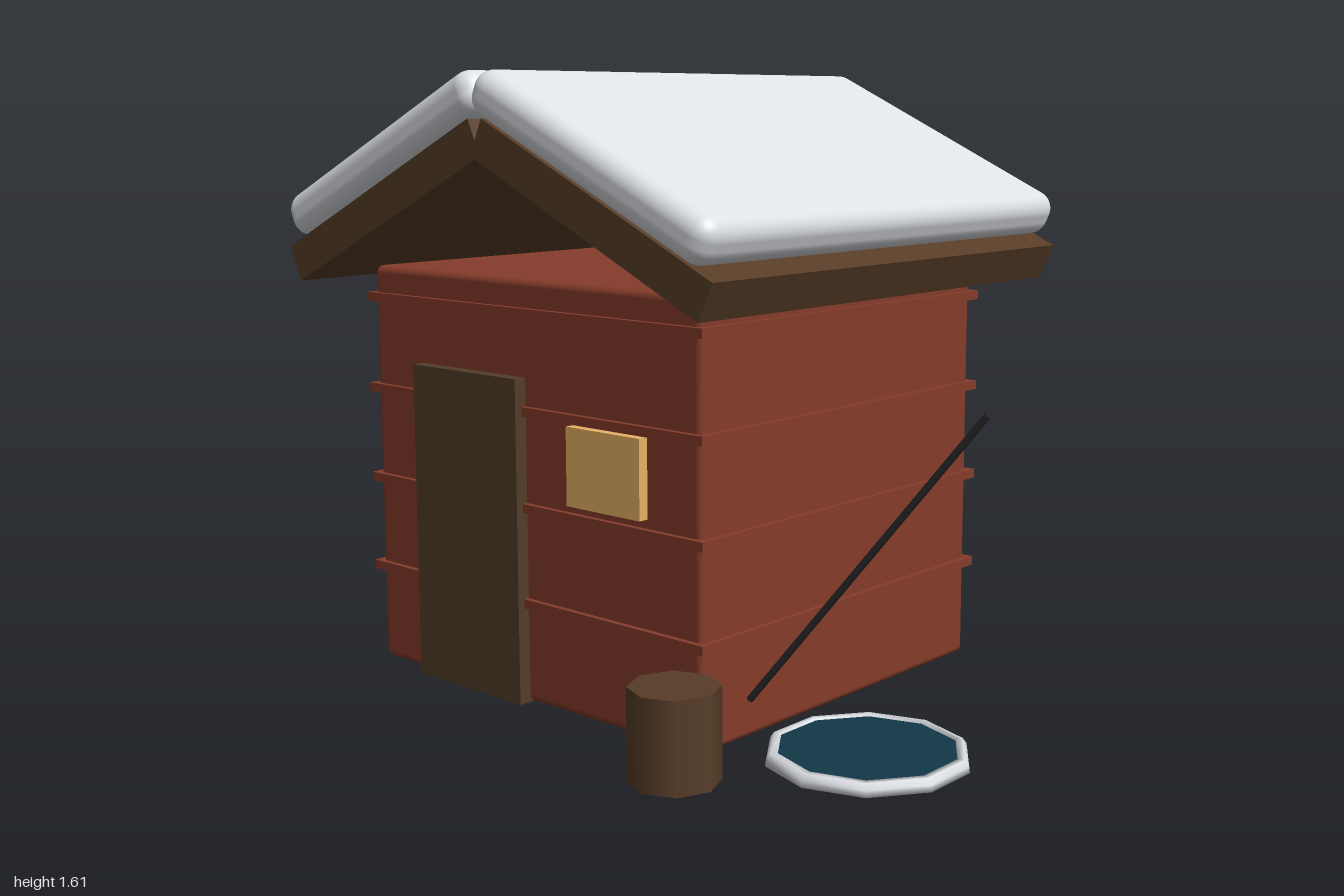
import * as THREE from 'three';
import { RoundedBoxGeometry } from 'three/addons/geometries/RoundedBoxGeometry.js';

const material = (name, color, extra = {}) => {
  const m = new THREE.MeshStandardMaterial({ color, ...extra });
  m.name = name;
  return m;
};

export function createModel() {
  const paint = material('red boards', 0x853c2a);
  const timber = material('dark timber', 0x583d28);
  const doorWood = material('door wood', 0x533d29);
  const snow = material('snow', 0xdde0e5);
  const glow = material('window light', 0xeeb868);
  const water = material('dark water', 0x123848);
  const rodBlack = material('rod black', 0x242424);

  const model = new THREE.Group();
  model.name = 'fishingHut';
  const add = (name, geometry, mat, x, y, z) => {
    const mesh = new THREE.Mesh(geometry, mat);
    mesh.name = name;
    mesh.position.set(x, y, z);
    model.add(mesh);
    return mesh;
  };
  const box = (w, h, d) => new THREE.BoxGeometry(w, h, d);

  // Hut centre line
  const cx = -0.23, cz = -0.04;

  // Walls with four board battens running round them
  add('walls', new RoundedBoxGeometry(1.2, 1.1, 1.1, 3, 0.02), paint, cx, 0.55, cz);
  for (const y of [0.265, 0.515, 0.765, 1.015]) {
    add('batten', box(1.23, 0.024, 1.13), paint, cx, y, cz);
  }

  // Door and lit window on the front wall
  add('door', box(0.4, 0.85, 0.045), doorWood, -0.43, 0.425, 0.523);
  add('window', box(0.25, 0.2, 0.04), glow, 0.07, 0.65, 0.518);

  // Two roof slabs, each with a thick layer of snow
  const pitch = THREE.MathUtils.degToRad(25);
  for (const side of [-1, 1]) {
    const x = cx + side * 0.375;
    add('roofSlab', box(0.82, 0.1, 1.4), timber, x, 1.279, cz).rotation.z = -side * pitch;
    add('roofSnow', new RoundedBoxGeometry(0.84, 0.12, 1.44, 5, 0.05), snow,
      x, 1.398, cz).rotation.z = -side * pitch;
  }

  // Stump seat
  add('stump', new THREE.CylinderGeometry(0.11, 0.11, 0.225, 8), timber, 0.42, 0.1125, 0.66);

  // Ice hole: snowy rim around a disc of water
  const rim = [[0.22, 0], [0.25, 0], [0.248, 0.016], [0.238, 0.03], [0.22, 0.03], [0.22, 0]]
    .map(([r, y]) => new THREE.Vector2(r, y));
  add('iceHoleRim', new THREE.LatheGeometry(rim, 10), material('ice rim', 0xdadde2, { side: THREE.DoubleSide }), 0.667, 0, 0.255);
  add('water', new THREE.CylinderGeometry(0.221, 0.221, 0.022, 10), water, 0.667, 0.014, 0.255);

  // Fishing rod leaning out over the hole
  const low = new THREE.Vector3(0.475, 0.153, 0.46);
  const high = new THREE.Vector3(0.988, 0.862, 0.267);
  const along = high.clone().sub(low);
  const middle = low.clone().add(high).multiplyScalar(0.5);
  const rod = add('fishingRod', new THREE.CylinderGeometry(0.009, 0.009, along.length(), 8),
    rodBlack, middle.x, middle.y, middle.z);
  rod.quaternion.setFromUnitVectors(new THREE.Vector3(0, 1, 0), along.normalize());

  return model;
}
